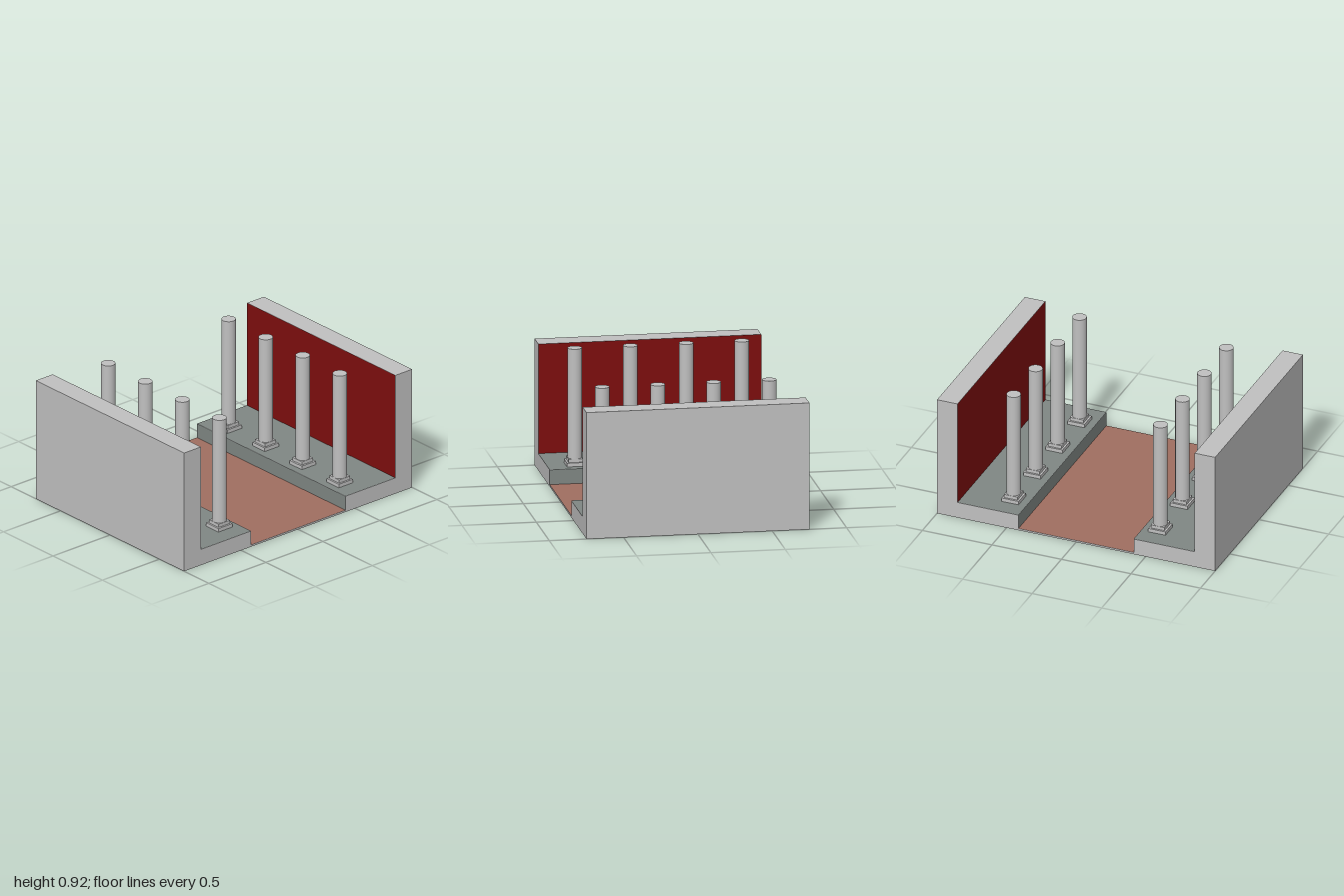
import * as THREE from 'three';

const DEPTH = 1.5;
const WALL_IN = 0.853, WALL_TOP = 0.865;
const STEP_IN = 0.415, STEP_TOP = 0.115, ROAD_TOP = 0.013;
const SKIN = 0.0015; // painted faces sit just clear of the stone

function material(name, color) {
  const m = new THREE.MeshStandardMaterial({ color });
  m.name = name;
  return m;
}

export function createModel() {
  const stone = material('pale stone', 0xc0c0c0);
  const paving = material('grey-green paving', 0x808784);
  const clay = material('terracotta floor', 0xa06e60);
  const red = material('dark red wall', 0x7e0e0e);

  const model = new THREE.Group();
  model.name = 'colonnadeHall';

  const add = (parent, name, geometry, mat, x = 0, y = 0, z = 0) => {
    const mesh = new THREE.Mesh(geometry, mat);
    mesh.name = name;
    mesh.position.set(x, y, z);
    parent.add(mesh);
    return mesh;
  };

  // Stone shell: one stepped U profile run from front to back
  const half = [[1, 0], [1, WALL_TOP], [WALL_IN, WALL_TOP], [WALL_IN, STEP_TOP],
    [STEP_IN, STEP_TOP], [STEP_IN, ROAD_TOP]];
  const outline = [...half, ...half.map(([x, y]) => [-x, y]).reverse()];
  const profile = new THREE.Shape(outline.map(([x, y]) => new THREE.Vector2(x, y)));
  const shell = new THREE.ExtrudeGeometry(profile, { depth: DEPTH, bevelEnabled: false });
  shell.translate(0, 0, -DEPTH / 2);
  add(model, 'shell', shell, stone);

  // Flat painted faces, either lying flat or standing and facing the middle
  const flatFace = (width) => new THREE.PlaneGeometry(width, DEPTH).rotateX(-Math.PI / 2);
  const sideFace = (height, side) =>
    new THREE.PlaneGeometry(DEPTH, height).rotateY(-side * Math.PI / 2);

  add(model, 'centralFloor', flatFace(STEP_IN * 2), clay, 0, ROAD_TOP + SKIN, 0);

  // Column parts
  const plinth = new THREE.BoxGeometry(0.124, 0.027, 0.124);
  const block = new THREE.BoxGeometry(0.098, 0.023, 0.098);
  const shaft = new THREE.CylinderGeometry(0.048, 0.048, 0.75, 32);

  for (const side of [1, -1]) {
    const label = side > 0 ? 'left' : 'right';
    const stepWidth = WALL_IN - STEP_IN;
    const wallHeight = WALL_TOP - STEP_TOP;

    add(model, label + 'Walkway', flatFace(stepWidth), paving,
      side * (STEP_IN + stepWidth / 2), STEP_TOP + SKIN, 0);
    add(model, label + 'StepFace', sideFace(STEP_TOP - ROAD_TOP, side), paving,
      side * (STEP_IN - SKIN), (STEP_TOP + ROAD_TOP) / 2, 0);
    add(model, label + 'WallFace', sideFace(wallHeight, side), red,
      side * (WALL_IN - SKIN), STEP_TOP + wallHeight / 2, 0);

    // Row of four columns
    for (let i = 0; i < 4; i++) {
      const column = new THREE.Group();
      column.name = label + 'Column' + (i + 1);
      column.position.set(side * 0.528, STEP_TOP, -0.5625 + i * 0.375);
      add(column, 'plinth', plinth, stone, 0, 0.0135, 0);
      add(column, 'block', block, stone, 0, 0.0385, 0);
      add(column, 'shaft', shaft, stone, 0, 0.425, 0);
      model.add(column);
    }
  }
  return model;
}
